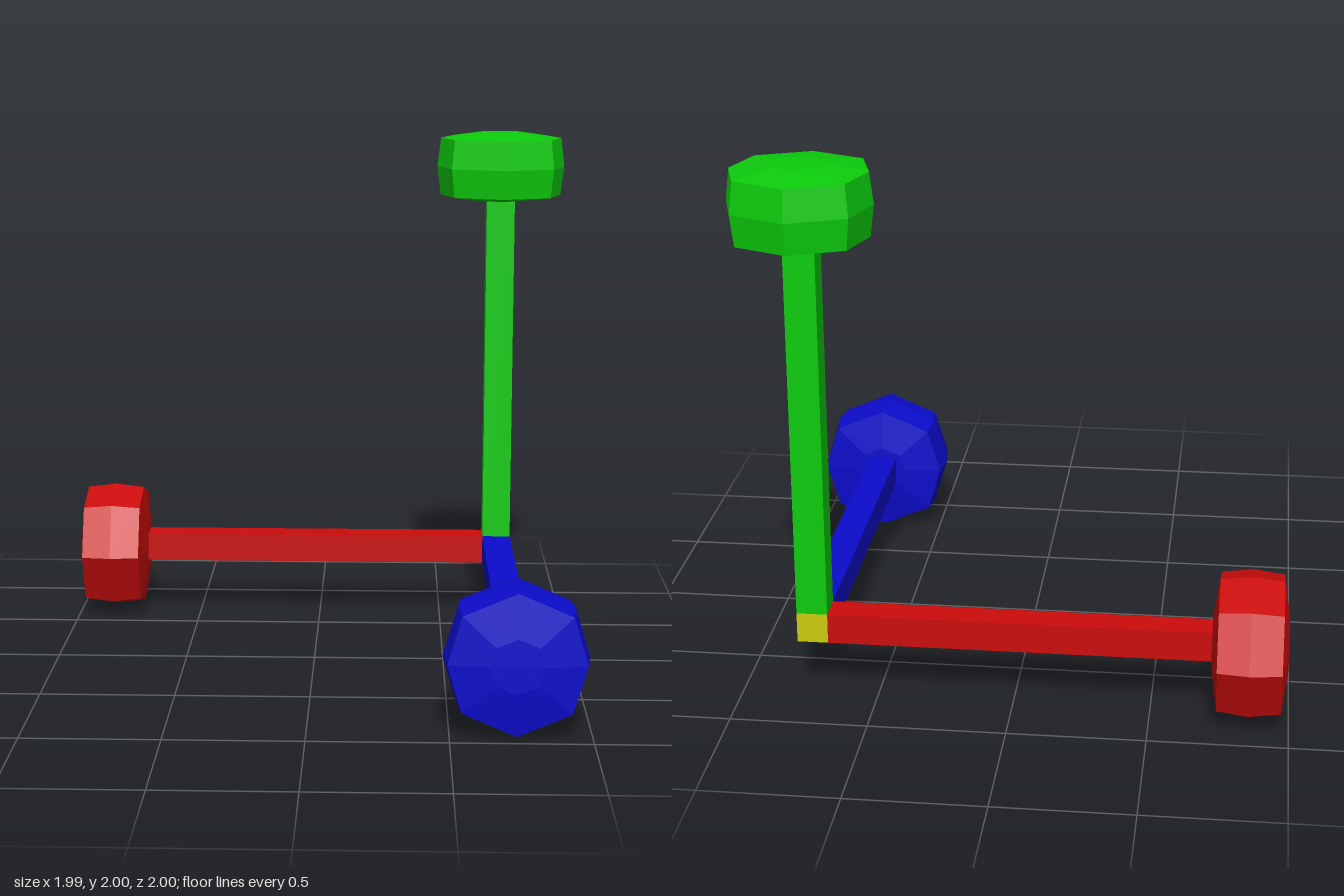
import * as THREE from 'three';

const WIDTH = 0.113;   // bar and corner cube thickness
const REACH = 1.589;   // corner centre to knob centre
const RADIUS = 0.271;

const material = (color) => new THREE.MeshStandardMaterial({ color, flatShading: true });

// Squat eight-sided knob along y, slightly narrower in x than in z
function knobGeometry() {
  const profile = [
    [0, -0.139], [0.1, -0.137], [RADIUS * 0.945, -0.115], [RADIUS, 0],
    [RADIUS * 0.945, 0.115], [0.1, 0.137], [0, 0.139],
  ].map(([r, y]) => new THREE.Vector2(r, y));
  const geometry = new THREE.LatheGeometry(profile, 8);
  const p = geometry.attributes.position;
  for (let i = 0; i < p.count; i++) {
    const x = p.getX(i), z = p.getZ(i);
    const diagonal = Math.abs(x) > 1e-4 && Math.abs(z) > 1e-4;
    p.setX(i, x * (diagonal ? 1.06 : 0.95));
    p.setZ(i, z * (diagonal ? 0.96 : 1));
  }
  geometry.computeVertexNormals();
  return geometry;
}

// One arm pointing up y: square bar with a knob at its end
function makeArm(name, color) {
  const arm = new THREE.Group();
  arm.name = name;
  const mat = material(color);
  const start = WIDTH / 2, end = REACH - 0.12;
  const bar = new THREE.Mesh(new THREE.BoxGeometry(WIDTH, end - start, WIDTH), mat);
  bar.name = name + 'Bar';
  bar.position.y = (start + end) / 2;
  const knob = new THREE.Mesh(knobGeometry(), mat);
  knob.name = name + 'Knob';
  knob.position.y = REACH;
  arm.add(bar, knob);
  return arm;
}

export function createModel() {
  const model = new THREE.Group();
  model.name = 'axisMarker';
  model.position.set(0.733, 0.272, -0.729);

  // Corner cube where the arms meet
  const corner = new THREE.Mesh(new THREE.BoxGeometry(WIDTH, WIDTH, WIDTH), material(0xcccc0c));
  corner.name = 'cornerCube';

  // Upright, sideways and forward arms
  const upArm = makeArm('upArm', 0x0ccc0c);
  const sideArm = makeArm('sideArm', 0xcc0c0c);
  sideArm.rotation.z = Math.PI / 2;
  const frontArm = makeArm('frontArm', 0x0c0ccc);
  frontArm.rotation.x = Math.PI / 2;

  model.add(corner, upArm, sideArm, frontArm);
  const root = new THREE.Group();
  root.add(model);
  return root;
}
